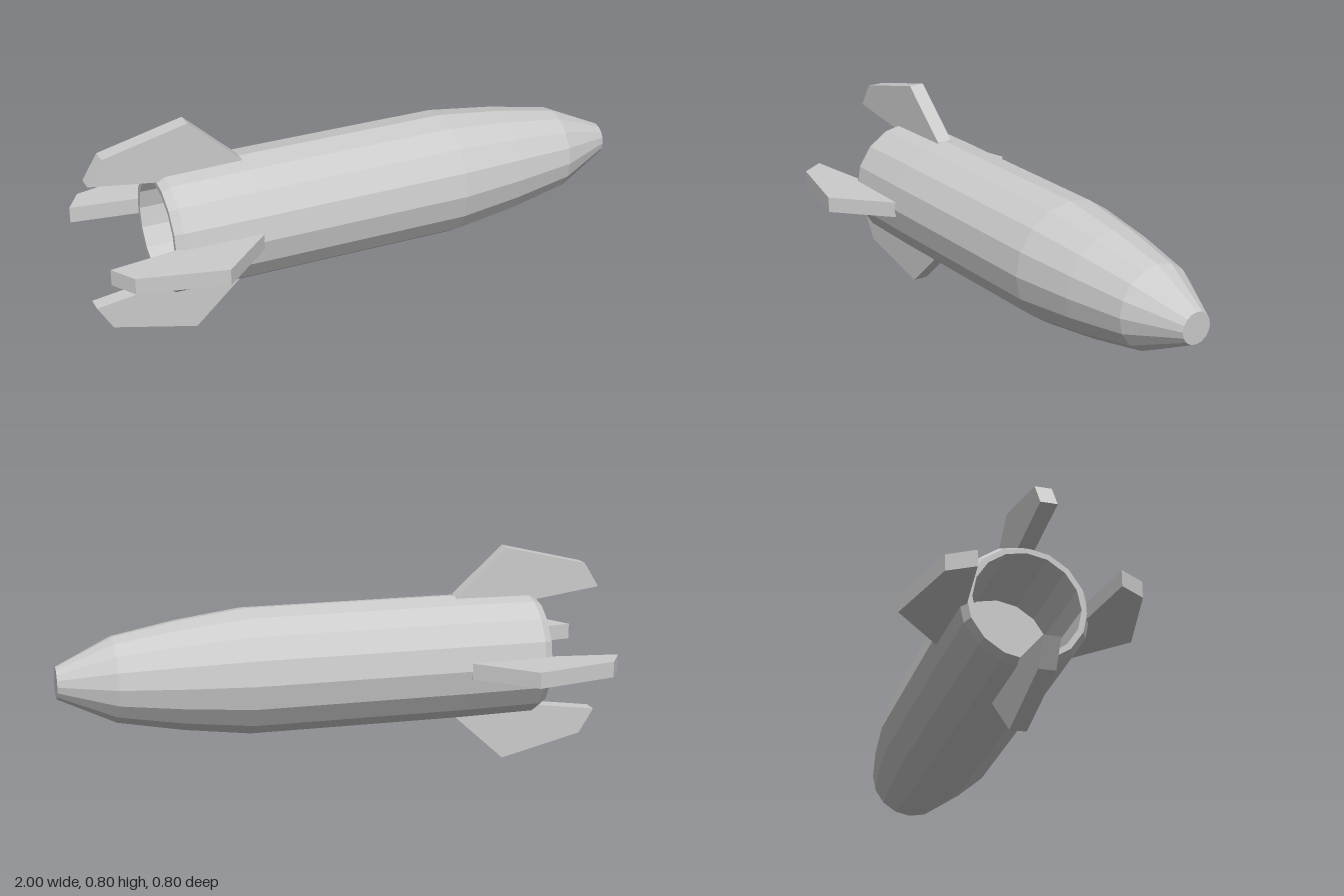
import * as THREE from 'three';

const material = new THREE.MeshStandardMaterial({ color: 0xcccccc, flatShading: true });

// Sixteen-sided solid of revolution about the x axis; points are [x, radius].
function turned(name, points) {
  const profile = points.map(([x, r]) => new THREE.Vector2(r, x));
  const mesh = new THREE.Mesh(new THREE.LatheGeometry(profile, 16), material);
  mesh.name = name;
  mesh.rotation.z = -Math.PI / 2;
  return mesh;
}

export function createModel() {
  const rocket = new THREE.Group();
  rocket.name = 'rocket';
  rocket.position.y = 0.4;

  // Hull: hollow tail, chamfered rim, straight barrel, tapered blunt nose
  rocket.add(turned('hull', [
    [-0.42, 0], [-0.42, 0.185], [-0.76, 0.185], [-0.76, 0.205], [-0.73, 0.223],
    [-0.45, 0.227], [0.33, 0.227], [0.57, 0.196], [0.8, 0.153], [1, 0.057], [1, 0],
  ]));

  // Four swept tail fins
  const outline = [
    [-0.45, 0.225], [-0.64, 0.4], [-0.945, 0.326], [-1, 0.236], [-0.75, 0.201], [-0.45, 0.201],
  ];
  const thickness = 0.058;
  const finShape = new THREE.Shape(outline.map(([x, y]) => new THREE.Vector2(x, y)));
  const finGeometry = new THREE.ExtrudeGeometry(finShape, { depth: thickness, bevelEnabled: false });
  finGeometry.translate(0, 0, -thickness / 2);
  ['topFin', 'frontFin', 'bottomFin', 'backFin'].forEach((name, i) => {
    const fin = new THREE.Mesh(finGeometry, material);
    fin.name = name;
    fin.rotation.x = i * Math.PI / 2;
    rocket.add(fin);
  });

  const model = new THREE.Group();
  model.add(rocket);
  return model;
}
